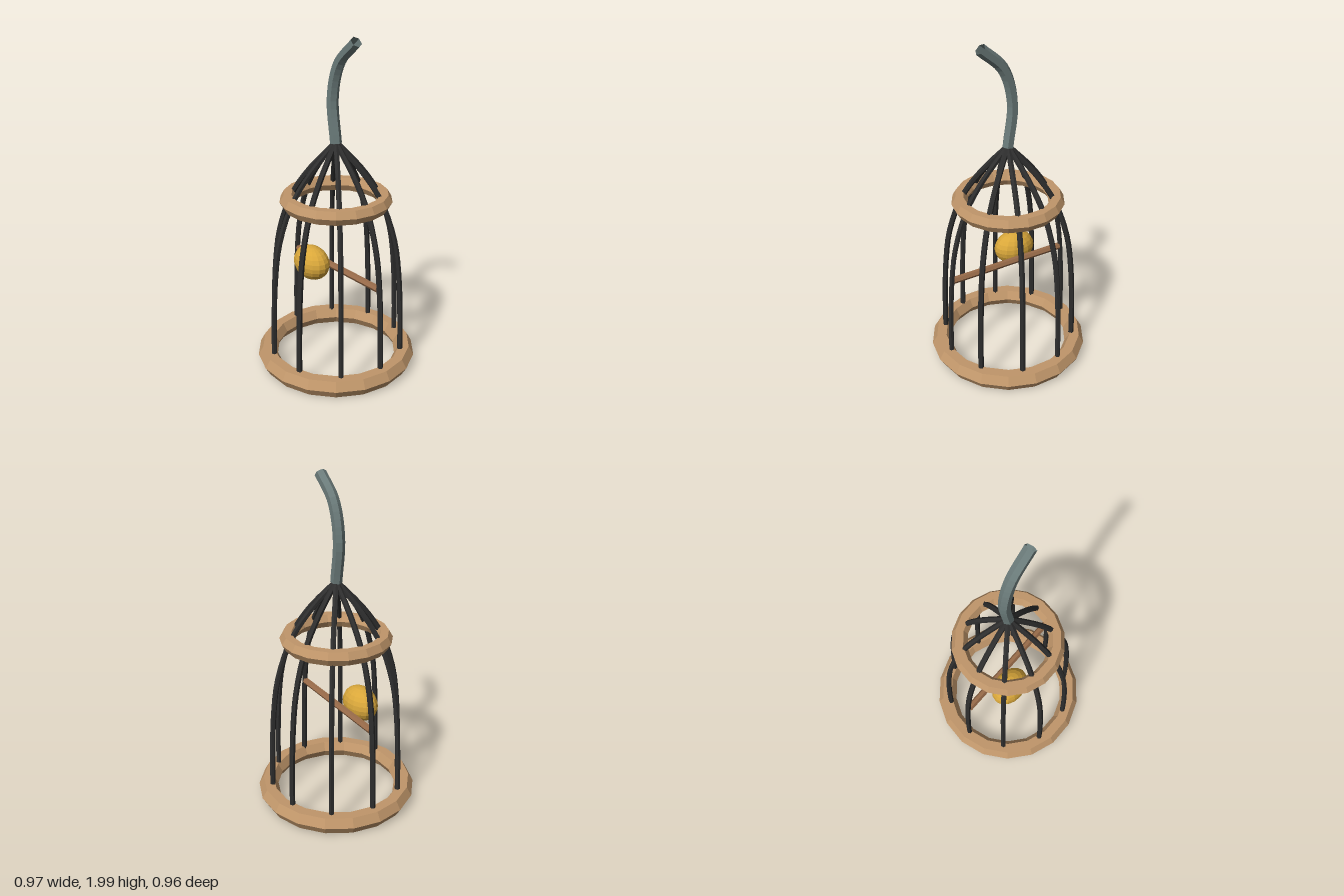
import * as THREE from 'three';

const mat = (name, color, side = THREE.FrontSide) =>
  Object.assign(new THREE.MeshStandardMaterial({ color, flatShading: true, side }), { name });

// Hexagonal sweep along a smooth curve lying in the xy plane
function sweep(points, radius, steps, sides = 6) {
  const curve = new THREE.CatmullRomCurve3(points.map(([x, y]) => new THREE.Vector3(x, y, 0)));
  const pos = [], index = [];
  for (let i = 0; i <= steps; i++) {
    const p = curve.getPoint(i / steps), t = curve.getTangent(i / steps);
    for (let j = 0; j < sides; j++) {
      const a = (j / sides) * Math.PI * 2;
      const u = Math.cos(a) * radius, w = Math.sin(a) * radius;
      pos.push(p.x + t.y * u, p.y - t.x * u, w);
      if (i < steps) {
        const k = i * sides + j, n = i * sides + (j + 1) % sides;
        index.push(k, k + sides, n, n, k + sides, n + sides);
      }
    }
  }
  const geo = new THREE.BufferGeometry();
  geo.setAttribute('position', new THREE.Float32BufferAttribute(pos, 3));
  geo.setIndex(index);
  geo.computeVertexNormals();
  return geo;
}

export function createModel() {
  const group = new THREE.Group();
  const wood = mat('wood', 0xc0966a);
  const iron = mat('darkIron', 0x2e2e2e, THREE.DoubleSide);
  const steel = mat('greySteel', 0x6c7c7b, THREE.DoubleSide);
  const perchWood = mat('perchWood', 0x9a6c4a);
  const gold = mat('gold', 0xd9a73a);

  const add = (name, geo, material, x = 0, y = 0, z = 0) => {
    const mesh = new THREE.Mesh(geo, material);
    mesh.name = name;
    mesh.position.set(x, y, z);
    group.add(mesh);
    return mesh;
  };

  // Wooden hoops
  const hoop = (name, radius, tube, y) =>
    add(name, new THREE.TorusGeometry(radius, tube, 6, 18).rotateX(Math.PI / 2), wood, 0, y);
  hoop('baseRing', 0.426, 0.06, 0.06);
  hoop('upperRing', 0.283, 0.047, 1.058);

  // Ten bars curving up to the apex
  const bar = sweep([[0.405, 0.05], [0.4, 0.3], [0.383, 0.6], [0.35, 0.83],
    [0.27, 1.06], [0.165, 1.22], [0, 1.4]], 0.0165, 20);
  for (let i = 0; i < 10; i++) add('bar', bar, iron).rotation.y = (i * Math.PI) / 5;

  // Bent open tube handle
  add('handle', sweep([[0, 1.395], [-0.028, 1.65], [0.028, 1.85], [0.164, 1.978]], 0.034, 16), steel);

  // Perch across the middle
  add('perch', new THREE.CylinderGeometry(0.021, 0.021, 0.74, 6).rotateZ(Math.PI / 2), perchWood, 0, 0.617);

  // Golden body beside the perch
  add('body', new THREE.SphereGeometry(1, 16, 12).scale(0.13, 0.105, 0.093), gold, -0.105, 0.645, 0.103);

  return group;
}
